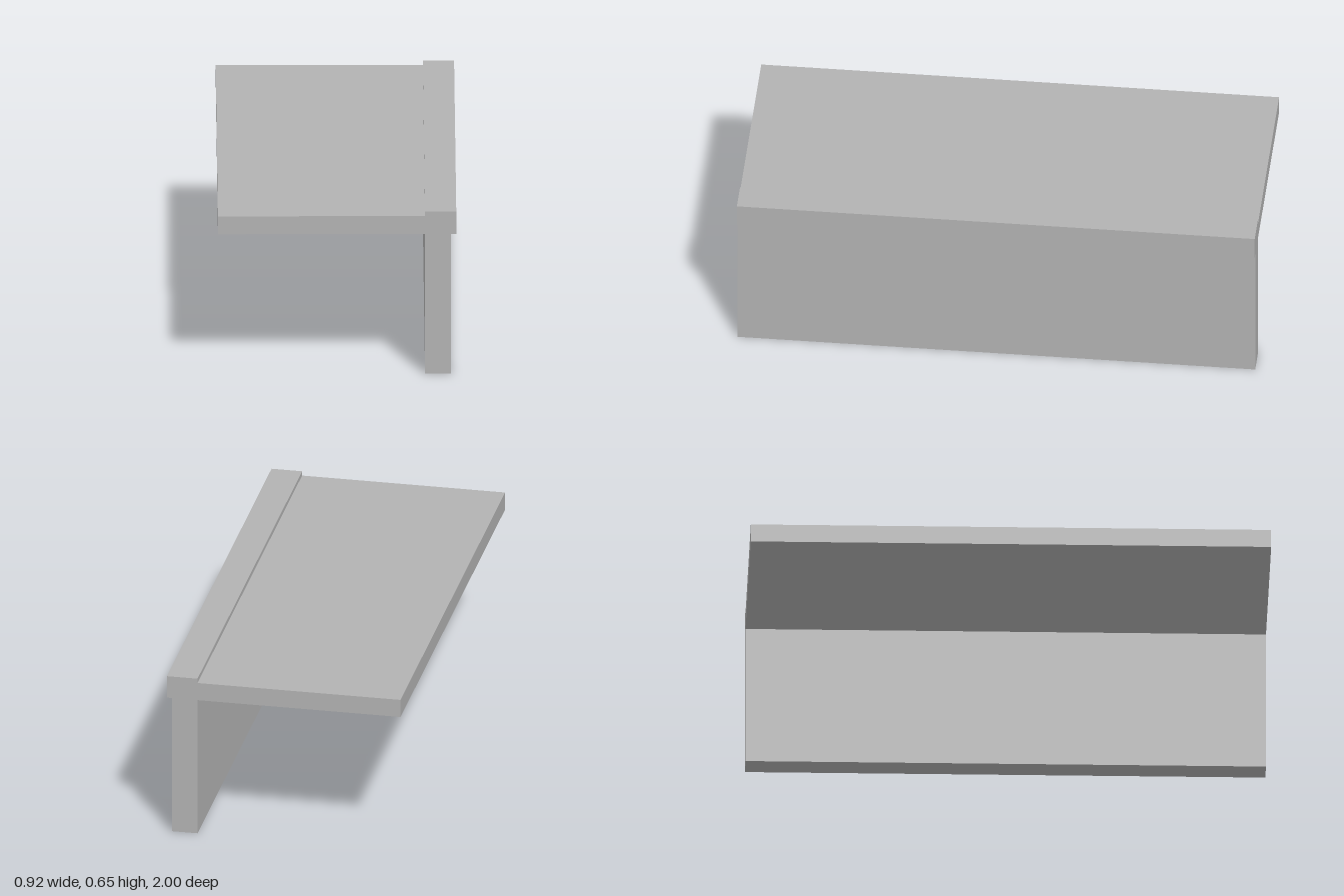
import * as THREE from 'three';

const LENGTH = 2;

export function createModel() {
  const group = new THREE.Group();
  group.name = 'ledge';

  const concreteGrey = new THREE.MeshStandardMaterial({ color: 0xb2b2b2 });
  concreteGrey.name = 'concrete grey';

  // Continuous cross-section: upright wall, raised kerb and cantilevered slab
  const profile = new THREE.Shape([
    [0.338, 0], [0.438, 0],          // wall foot
    [0.438, 0.56], [0.458, 0.56],    // drip lip under the kerb
    [0.458, 0.65], [0.338, 0.65],    // kerb top
    [0.338, 0.632], [-0.458, 0.632], // slab top
    [-0.458, 0.56], [0.338, 0.56],   // slab underside
  ].map(([x, y]) => new THREE.Vector2(x, y)));

  const geometry = new THREE.ExtrudeGeometry(profile, { depth: LENGTH, bevelEnabled: false });
  geometry.translate(0, 0, -LENGTH / 2);

  const body = new THREE.Mesh(geometry, concreteGrey);
  body.name = 'wallWithSlabAndKerb';
  group.add(body);
  return group;
}
